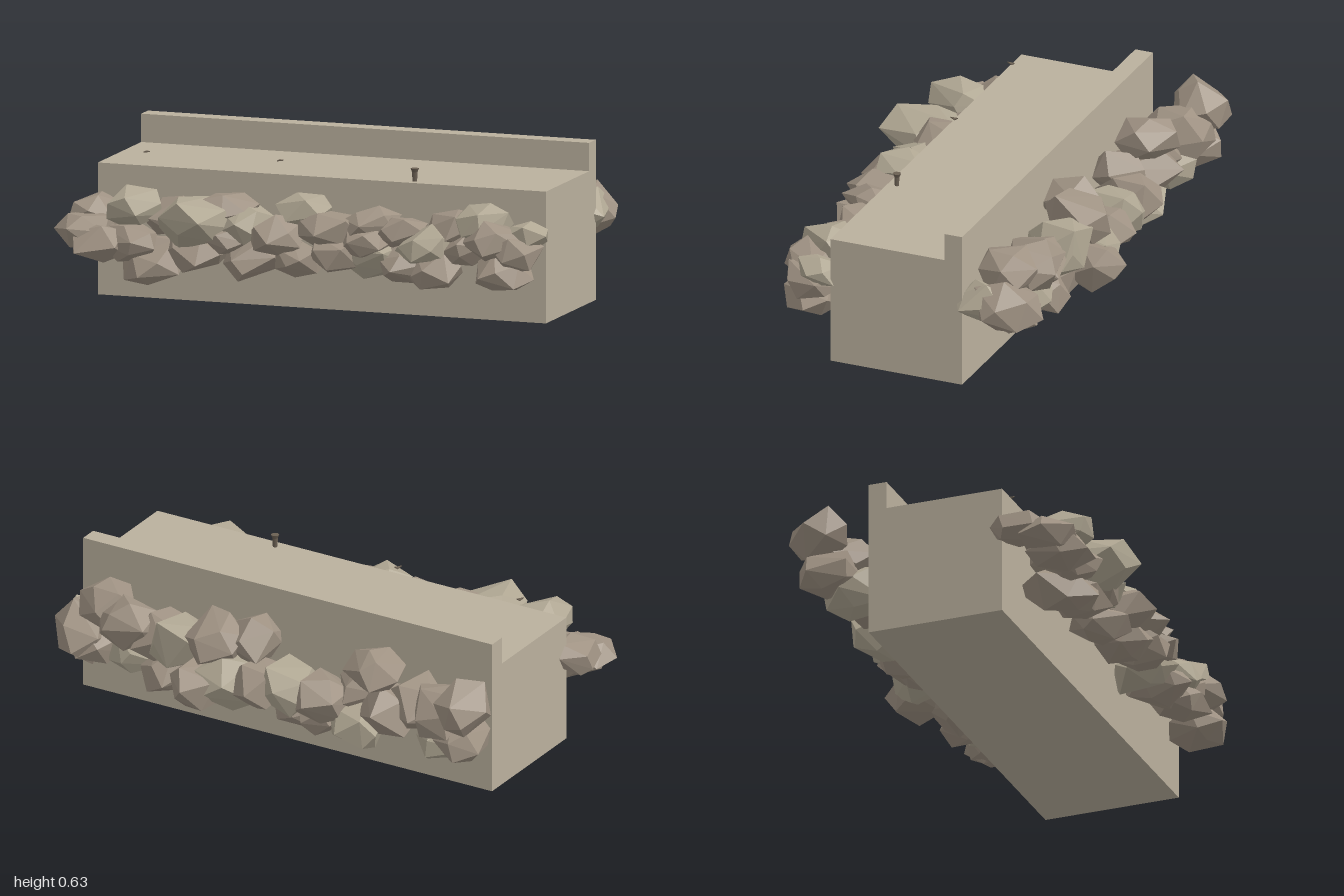
import * as THREE from 'three';
import { ConvexGeometry } from 'three/addons/geometries/ConvexGeometry.js';

// Small seeded random generator
function seeded(seed) {
  let s = seed;
  return () => {
    s = (s * 16807) % 2147483647;
    return s / 2147483647;
  };
}

// Rocks as [x, y, z, radius]
const FRONT_ROCKS = [
  [-0.88, 0.34, 0.34, 0.11], [-0.87, 0.29, 0.46, 0.12], [-0.80, 0.25, 0.49, 0.12],
  [-0.67, 0.39, 0.45, 0.12], [-0.68, 0.25, 0.48, 0.12], [-0.60, 0.18, 0.41, 0.14],
  [-0.54, 0.34, 0.36, 0.11], [-0.42, 0.35, 0.47, 0.15], [-0.42, 0.22, 0.41, 0.12],
  [-0.31, 0.38, 0.36, 0.11], [-0.20, 0.21, 0.42, 0.12], [-0.22, 0.34, 0.40, 0.11],
  [-0.30, 0.28, 0.42, 0.10], [-0.08, 0.31, 0.45, 0.12], [0.00, 0.22, 0.42, 0.11],
  [0.01, 0.40, 0.38, 0.11], [0.12, 0.34, 0.43, 0.12], [0.16, 0.25, 0.45, 0.11],
  [0.28, 0.37, 0.39, 0.11], [0.30, 0.24, 0.39, 0.12], [0.27, 0.30, 0.44, 0.10],
  [0.40, 0.34, 0.38, 0.11], [0.43, 0.22, 0.40, 0.12], [0.52, 0.30, 0.44, 0.11],
  [0.57, 0.21, 0.44, 0.11], [0.62, 0.37, 0.36, 0.11], [0.68, 0.29, 0.40, 0.10],
  [0.73, 0.40, 0.38, 0.11], [0.80, 0.34, 0.42, 0.12], [0.82, 0.21, 0.41, 0.12],
  [0.87, 0.29, 0.39, 0.11], [0.90, 0.35, 0.34, 0.09],
];
const BACK_ROCKS = [
  [-0.88, 0.44, -0.48, 0.12], [-0.85, 0.29, -0.45, 0.11], [-0.76, 0.38, -0.44, 0.13],
  [-0.74, 0.25, -0.39, 0.12], [-0.62, 0.35, -0.38, 0.12], [-0.46, 0.48, -0.44, 0.11],
  [-0.50, 0.31, -0.41, 0.13], [-0.38, 0.23, -0.43, 0.12], [-0.36, 0.36, -0.37, 0.11],
  [-0.25, 0.32, -0.46, 0.12], [-0.20, 0.22, -0.40, 0.11], [-0.08, 0.32, -0.45, 0.13],
  [-0.08, 0.22, -0.38, 0.11], [0.05, 0.31, -0.47, 0.12], [0.12, 0.45, -0.38, 0.11],
  [0.18, 0.30, -0.47, 0.13], [0.24, 0.45, -0.45, 0.12], [0.28, 0.28, -0.53, 0.12],
  [0.33, 0.22, -0.40, 0.11], [0.40, 0.39, -0.45, 0.13], [0.50, 0.24, -0.40, 0.11],
  [0.52, 0.37, -0.40, 0.12], [0.65, 0.41, -0.45, 0.12], [0.66, 0.28, -0.39, 0.12],
  [0.78, 0.44, -0.39, 0.12], [0.80, 0.29, -0.41, 0.12], [0.86, 0.32, -0.42, 0.13],
  [0.90, 0.34, -0.35, 0.10],
];

// Faceted boulder: convex hull of jittered points spread over a flattened sphere
function rockGeometry(radius, squash, random) {
  const count = 14;
  const turn = random() * Math.PI * 2;
  const points = [];
  for (let i = 0; i < count; i++) {
    const h = 1 - (2 * (i + 0.5)) / count;
    const ring = Math.sqrt(1 - h * h);
    const angle = turn + i * 2.4 + (random() - 0.5) * 0.8;
    const r = radius * (0.88 + random() * 0.3);
    points.push(new THREE.Vector3(
      Math.cos(angle) * ring * r,
      h * r * squash,
      Math.sin(angle) * ring * r * 1.1,
    ));
  }
  return new ConvexGeometry(points);
}

export function createModel() {
  const model = new THREE.Group();
  const wallStone = new THREE.MeshStandardMaterial({ color: 0xbab09d });
  const darkRock = new THREE.MeshStandardMaterial({ color: 0x9f9283 });
  const lightRock = new THREE.MeshStandardMaterial({ color: 0xb0a793 });
  const postBrown = new THREE.MeshStandardMaterial({ color: 0x6b6053 });
  wallStone.name = 'wall stone';
  darkRock.name = 'dark rock';
  lightRock.name = 'light rock';
  postBrown.name = 'post brown';

  const add = (parent, name, geometry, material, x, y, z) => {
    const mesh = new THREE.Mesh(geometry, material);
    mesh.name = name;
    mesh.position.set(x, y, z);
    parent.add(mesh);
    return mesh;
  };

  // Stepped wall: one L-shaped section extruded along x
  const section = new THREE.Shape([
    [-0.278, 0], [0.276, 0], [0.276, 0.628], [0.202, 0.628], [0.202, 0.517], [-0.278, 0.517],
  ].map(([x, y]) => new THREE.Vector2(x, y)));
  const wall = new THREE.ExtrudeGeometry(section, { depth: 1.845, bevelEnabled: false });
  wall.rotateY(Math.PI / 2);
  add(model, 'wallWithParapet', wall, wallStone, -0.886, 0, 0);

  // Boulder banks along both faces
  const random = seeded(4217);
  const addBank = (name, rocks, squash) => {
    const bank = new THREE.Group();
    bank.name = name;
    rocks.forEach(([x, y, z, r], i) => {
      const rock = add(bank, 'rock', rockGeometry(r, squash, random),
        i % 4 === 3 ? lightRock : darkRock, x, y, z);
      rock.rotation.set((random() - 0.5) * 0.5, 0, (random() - 0.5) * 0.4);
    });
    model.add(bank);
  };
  addBank('frontRocks', FRONT_ROCKS, 0.66);
  addBank('backRocks', BACK_ROCKS, 0.86);

  // Small mooring post with a wider head
  const post = new THREE.Group();
  post.name = 'mooringPost';
  add(post, 'postStem', new THREE.CylinderGeometry(0.011, 0.009, 0.04, 6), postBrown, 0, 0.02, 0);
  add(post, 'postHead', new THREE.CylinderGeometry(0.017, 0.011, 0.014, 6), postBrown, 0, 0.046, 0);
  post.position.set(0.405, 0.515, 0.24);
  model.add(post);

  // Thin slanted chips level with the post head
  for (const x of [-0.7, -0.15]) {
    const chip = add(model, 'postChip', new THREE.CylinderGeometry(0.014, 0.014, 0.004, 3),
      postBrown, x, 0.565, 0.24);
    chip.scale.set(0.8, 1, 1.4);
    chip.rotation.y = -0.3;
  }

  return model;
}
